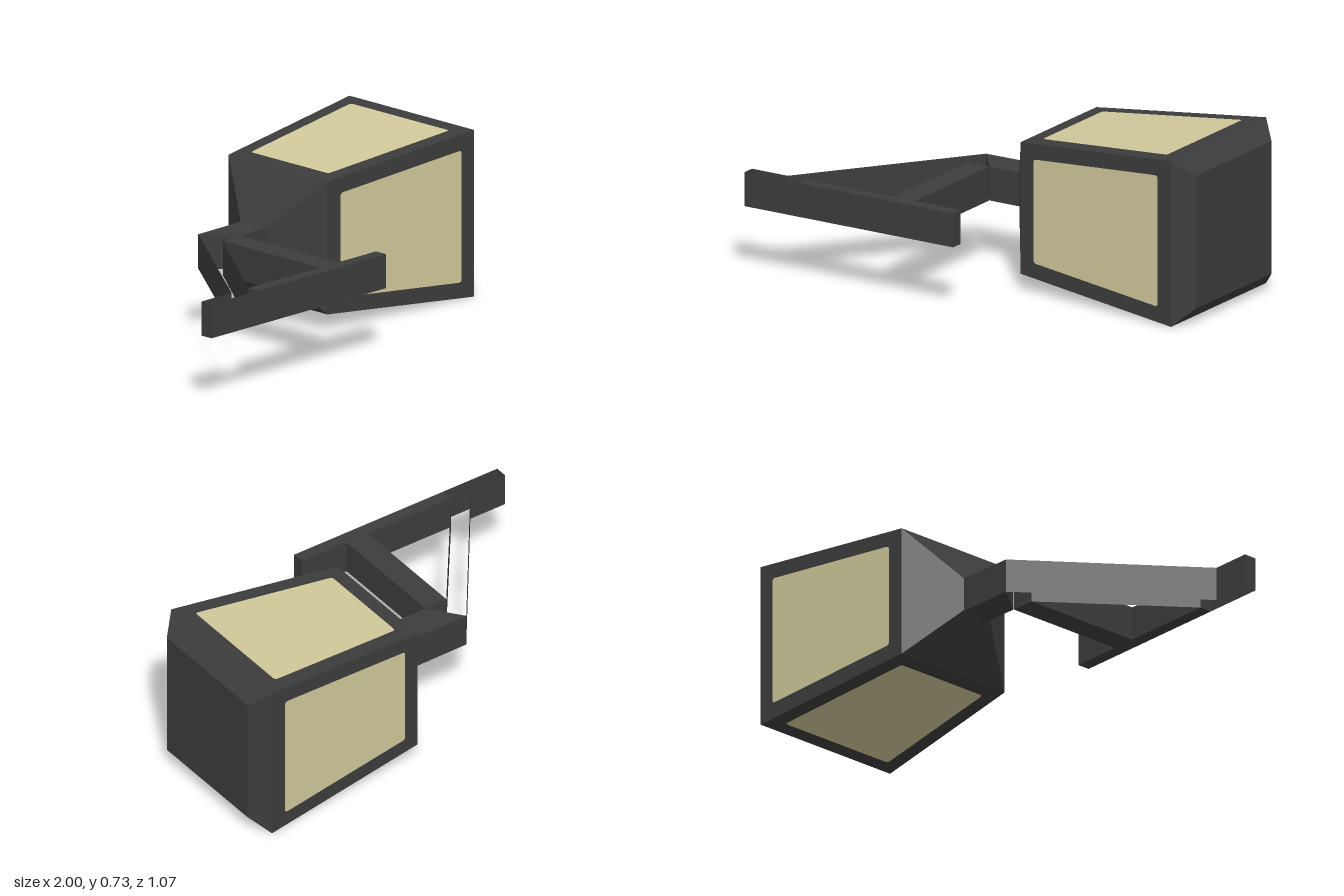
import * as THREE from 'three';

const frameMat = new THREE.MeshStandardMaterial({ color: 0x3c3c3c, side: THREE.DoubleSide });
frameMat.name = 'dark iron';
const glassMat = new THREE.MeshStandardMaterial({ color: 0xd0c99b });
glassMat.name = 'warm glass';

const BASE = 0.29, TOP = 0.44;      // height range of the bracket
const CY = 0.367, CZ = -0.171;      // axis of the lantern, running along x

function add(parent, name, geometry, material) {
  const mesh = new THREE.Mesh(geometry, material);
  mesh.name = name;
  parent.add(mesh);
  return mesh;
}

function fromTriangles(positions) {
  const g = new THREE.BufferGeometry();
  g.setAttribute('position', new THREE.Float32BufferAttribute(positions, 3));
  g.computeVertexNormals();
  return g;
}

function quad(out, a, b, c, d) {
  for (const p of [a, b, c, a, c, d]) out.push(...p);
}

// Solid bar from a plan outline of [x, z] corners
function bar(points) {
  const shape = new THREE.Shape(points.map(([x, z]) => new THREE.Vector2(x, -z)));
  const g = new THREE.ExtrudeGeometry(shape, { depth: TOP - BASE, bevelEnabled: false });
  return g.rotateX(-Math.PI / 2).translate(0, BASE, 0);
}

// Upright strip following a plan polyline, open above and below
function strip(points) {
  const out = [];
  for (let i = 0; i + 1 < points.length; i++) {
    const [x0, z0] = points[i], [x1, z1] = points[i + 1];
    quad(out, [x0, BASE, z0], [x1, BASE, z1], [x1, TOP, z1], [x0, TOP, z0]);
  }
  return fromTriangles(out);
}

// Square sections [x, half width] joined into a tapering body, closed at the last
function taperedBody(sections) {
  const out = [];
  const corner = ([x, h], k) => {
    const a = Math.PI / 4 + k * Math.PI / 2;
    return [x, h * Math.SQRT2 * Math.cos(a), h * Math.SQRT2 * Math.sin(a)];
  };
  for (let i = 0; i + 1 < sections.length; i++) {
    const s = sections[i], t = sections[i + 1];
    for (let k = 0; k < 4; k++) quad(out, corner(s, k), corner(t, k), corner(t, k + 1), corner(s, k + 1));
  }
  const end = sections[sections.length - 1];
  quad(out, corner(end, 0), corner(end, 1), corner(end, 2), corner(end, 3));
  return fromTriangles(out);
}

// Rounded trapezoid pane lying on the sloping side of the lantern
function pane(sideHeight) {
  const pts = [[0.19, -0.229], [0.855, -0.29], [0.855, 0.29], [0.19, 0.229]].map(p => new THREE.Vector2(...p));
  const shape = new THREE.Shape();
  pts.forEach((p, i) => {
    const prev = pts[(i + 3) % 4], next = pts[(i + 1) % 4], r = 0.015;
    const a = p.clone().add(prev.clone().sub(p).setLength(r));
    const b = p.clone().add(next.clone().sub(p).setLength(r));
    if (i === 0) shape.moveTo(a.x, a.y); else shape.lineTo(a.x, a.y);
    shape.quadraticCurveTo(p.x, p.y, b.x, b.y);
  });
  shape.closePath();
  const g = new THREE.ShapeGeometry(shape, 4).rotateX(-Math.PI / 2);
  const pos = g.attributes.position;
  for (let i = 0; i < pos.count; i++) pos.setY(i, sideHeight(pos.getX(i)) + 0.003);
  g.computeVertexNormals();
  return g;
}

export function createModel() {
  const model = new THREE.Group();
  model.name = 'wallLantern';

  // Lantern
  const lantern = new THREE.Group();
  lantern.name = 'lantern';
  lantern.position.set(0, CY, CZ);
  model.add(lantern);
  add(lantern, 'lanternBody', taperedBody([[-0.03, 0.073], [0.12, 0.291], [0.925, 0.366], [1, 0.293]]), frameMat);
  const paneGeometry = pane(x => 0.291 + (x - 0.12) * (0.075 / 0.805));
  for (let k = 0; k < 4; k++) {
    add(lantern, 'glassPane', paneGeometry, glassMat).rotation.x = k * Math.PI / 2;
  }

  // Bracket
  const bracket = new THREE.Group();
  bracket.name = 'bracket';
  model.add(bracket);
  add(bracket, 'neck', bar([[-0.29, -0.24], [-0.03, -0.244], [-0.03, -0.098], [-0.18, -0.098]]), frameMat);
  add(bracket, 'arm', bar([[-0.29, -0.095], [-0.18, -0.095], [-0.18, 0.475], [-0.29, 0.475]]), frameMat);
  add(bracket, 'mountingPlate', bar([[-0.72, 0.475], [0.05, 0.475], [0.05, 0.533], [-0.72, 0.533]]), frameMat);

  // Hollow brace and plate end, open above and below
  add(bracket, 'braceOuterWall', strip([[-0.29, -0.24], [-0.82, 0.475], [-1, 0.475], [-1, 0.533], [-0.72, 0.533]]), frameMat);
  add(bracket, 'braceInnerWall', strip([[-0.29, -0.095], [-0.72, 0.475]]), frameMat);
  return model;
}
